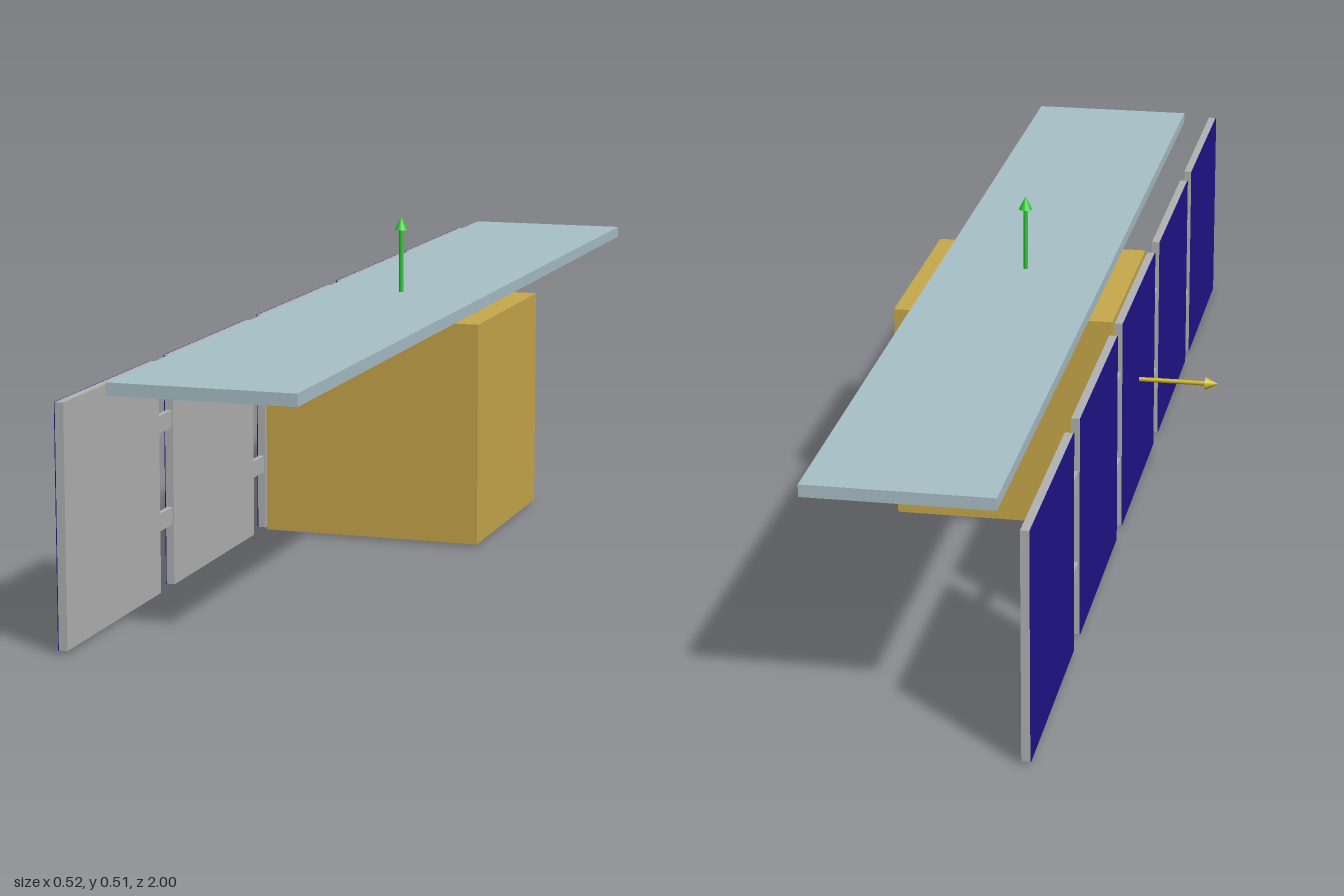
import * as THREE from 'three';

const mat = (color, opts = {}) => new THREE.MeshStandardMaterial({ color, ...opts });
const gold = mat(0xc8a84b);
const plateBlue = mat(0xa9c0c8);
const cellBlue = mat(0x20148c);
const grey = mat(0xb2b2b2);
const red = mat(0xc81e14);

function add(parent, name, geometry, material, x, y, z) {
  const mesh = new THREE.Mesh(geometry, material);
  mesh.name = name;
  mesh.position.set(x, y, z);
  parent.add(mesh);
  return mesh;
}

const box = (w, h, d) => new THREE.BoxGeometry(w, h, d);

// Axis arrow: a thin shaft with a cone head, running from start along dir
function arrow(name, color, start, dir, length) {
  const g = new THREE.Group();
  g.name = name;
  const head = 0.022;
  const material = mat(color);
  add(g, name + 'Shaft', new THREE.CylinderGeometry(0.0038, 0.0038, length - head, 16), material, 0, (length - head) / 2, 0);
  add(g, name + 'Head', new THREE.ConeGeometry(0.011, head, 24), material, 0, length - head / 2, 0);
  g.position.set(...start);
  g.quaternion.setFromUnitVectors(new THREE.Vector3(0, 1, 0), new THREE.Vector3(...dir));
  return g;
}

export function createModel() {
  const model = new THREE.Group();
  model.name = 'satellite';

  // Everything sits on a frame turned slightly about the vertical
  const frame = new THREE.Group();
  frame.name = 'frame';
  frame.position.set(0.0735, 0, -0.005);
  frame.rotation.y = 0.0222;
  model.add(frame);

  // Cubic body with a round port beneath
  const size = 0.36;
  add(frame, 'body', box(size, size, size), gold, 0, 0.1835, 0);
  add(frame, 'bottomPort', new THREE.CylinderGeometry(0.097, 0.097, 0.004, 48), red, -0.005, 0.002, 0);

  // Long flat plate on top
  add(frame, 'topPlate', box(0.283, 0.019, 1.895), plateBlue, 0, 0.3735, 0);

  // Row of five solar panels, joined by pairs of hinge bars
  const panel = 0.355, pitch = 0.4108, thick = 0.013, panelX = -0.19, panelY = 0.1835;
  const panels = new THREE.Group();
  panels.name = 'solarPanels';
  frame.add(panels);
  for (let i = -2; i <= 2; i++) {
    add(panels, 'panel', box(thick, panel, panel), grey, panelX, panelY, i * pitch);
    add(panels, 'solarCells', box(0.0012, panel, panel), cellBlue, panelX - thick / 2 - 0.0006, panelY, i * pitch);
  }
  for (let i = -1.5; i <= 1.5; i++) {
    for (const y of [0.113, 0.263]) {
      add(panels, 'hinge', box(0.008, 0.027, pitch - panel + 0.004), grey, panelX, y, i * pitch);
    }
  }

  // Direction arrows on the side, top and back
  frame.add(
    arrow('sideArrow', 0xccb41e, [-0.17, 0.197, 0], [-1, 0, 0], 0.162),
    arrow('topArrow', 0x2ecc2e, [-0.005, 0.355, 0], [0, 1, 0], 0.154),
    arrow('backArrow', 0xb2b2b2, [-0.005, 0.199, -0.17], [0, 0, -1], 0.142),
  );
  return model;
}
